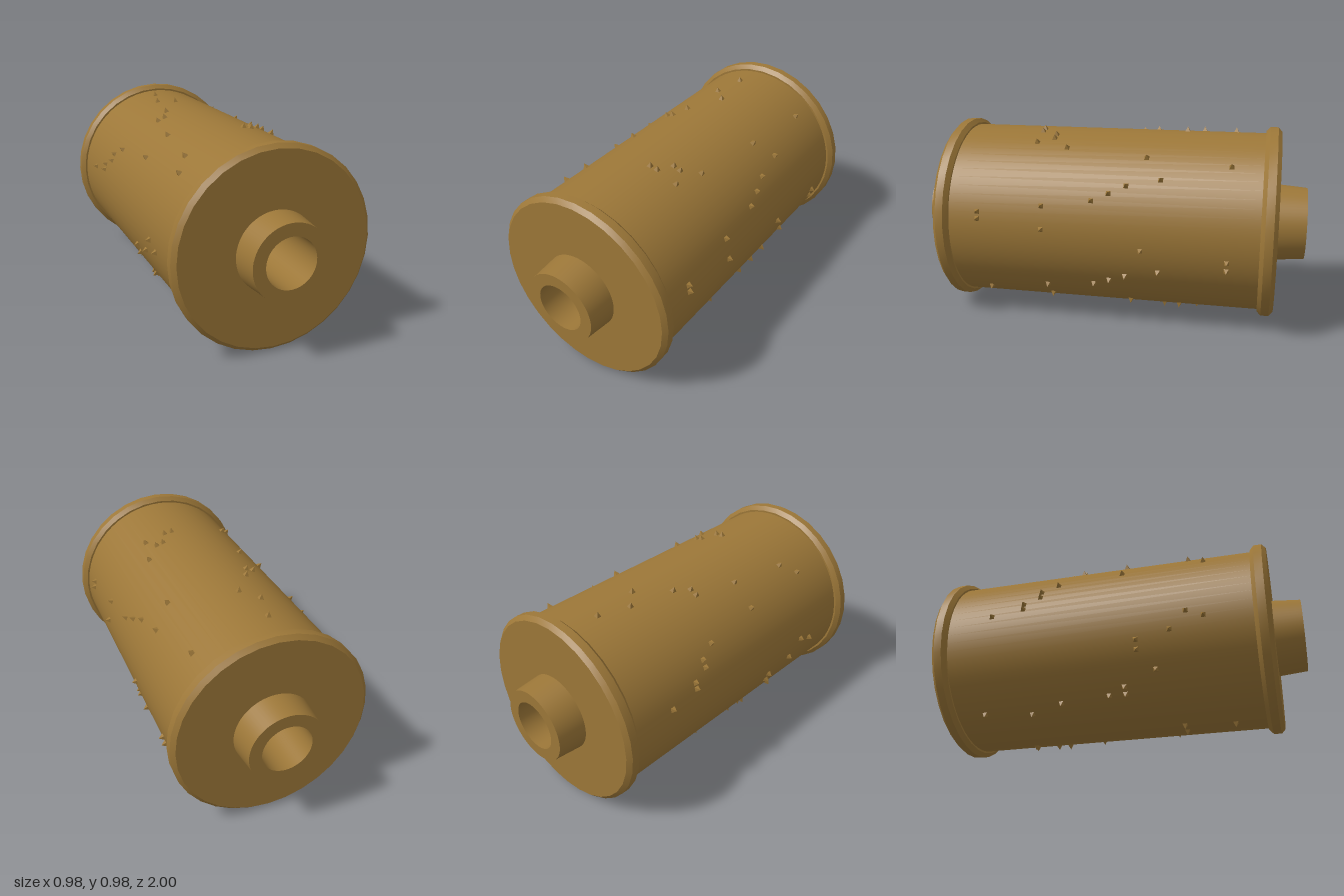
import * as THREE from 'three';
import { toCreasedNormals } from 'three/addons/utils/BufferGeometryUtils.js';

const CENTER_Y = 0.492;
const DRUM_R = 0.46;
const BORE_R = 0.123;

export function createModel() {
  const brass = new THREE.MeshStandardMaterial({ color: 0x9c7738 });
  brass.name = 'brass';

  const model = new THREE.Group();
  model.name = 'pinnedCylinder';
  const roller = new THREE.Group();
  roller.name = 'roller';
  roller.position.y = CENTER_Y;
  model.add(roller);

  // Turned part: profile of [radius, z], revolved about the z axis
  const turned = (name, profile, sides, parent) => {
    const points = profile.map(([r, z]) => new THREE.Vector2(r, z));
    const geometry = new THREE.LatheGeometry(points, sides).rotateX(Math.PI / 2);
    const mesh = new THREE.Mesh(toCreasedNormals(geometry, 0.5), brass);
    mesh.name = name;
    parent.add(mesh);
  };

  // Drum wall and the bore running through it
  turned('drum', [[DRUM_R, -0.79], [DRUM_R, 0.79]], 64, roller);
  turned('bore', [[BORE_R, 1], [BORE_R, -1]], 64, roller);

  // Chamfered end flange and tapered hub at each end
  for (const [end, turn] of [['front', 0], ['back', Math.PI]]) {
    const cap = new THREE.Group();
    cap.name = end + 'Cap';
    cap.rotation.y = turn;
    roller.add(cap);
    turned(end + 'Flange', [
      [0.45, 0.777], [0.471, 0.777], [0.492, 0.797],
      [0.492, 0.837], [0.471, 0.857], [0.19, 0.857],
    ], 32, cap);
    turned(end + 'Hub', [[0.197, 0.855], [0.185, 1], [BORE_R, 1]], 64, cap);
  }

  // Pins: angles in degrees from +x on each of sixteen tracks, front to back
  const tracks = [
    [12, 7.5, -51, -96],
    [137, 186.6],
    [127, 182.5],
    [83, 78, 63.5, -90, -99, 193],
    [73.3, 68.5, 17.6, 3, -40.6, -56.5, 216],
    [59, 197, 203],
    [141.5, 122, 230, 225],
    [22.4, -35.7, 230],
    [27.4, -31],
    [32.7, 112, 117, -26.5, -60],
    [53, 147, 107, -7, 232],
    [37.5, 153, 158, -21.6, -73],
    [93, 163, 167, -66, 238],
    [102.5, -80, -83],
    [170],
    [97.4, 48.4, -11.4, -17, 235],
  ];
  // Square pyramid pointing along +x, edges aligned with the drum axis
  const pinGeometry = toCreasedNormals(
    new THREE.ConeGeometry(0.02, 0.03, 4, 1, true, Math.PI / 4), 0.3)
    .rotateZ(-Math.PI / 2)
    .translate(DRUM_R + 0.01, 0, 0);
  const pins = new THREE.Group();
  pins.name = 'pins';
  roller.add(pins);
  tracks.forEach((angles, i) => {
    for (const angle of angles) {
      const pin = new THREE.Mesh(pinGeometry, brass);
      pin.name = 'pin';
      pin.position.z = (7.5 - i) / 12;
      pin.rotation.z = THREE.MathUtils.degToRad(angle);
      pins.add(pin);
    }
  });

  return model;
}
